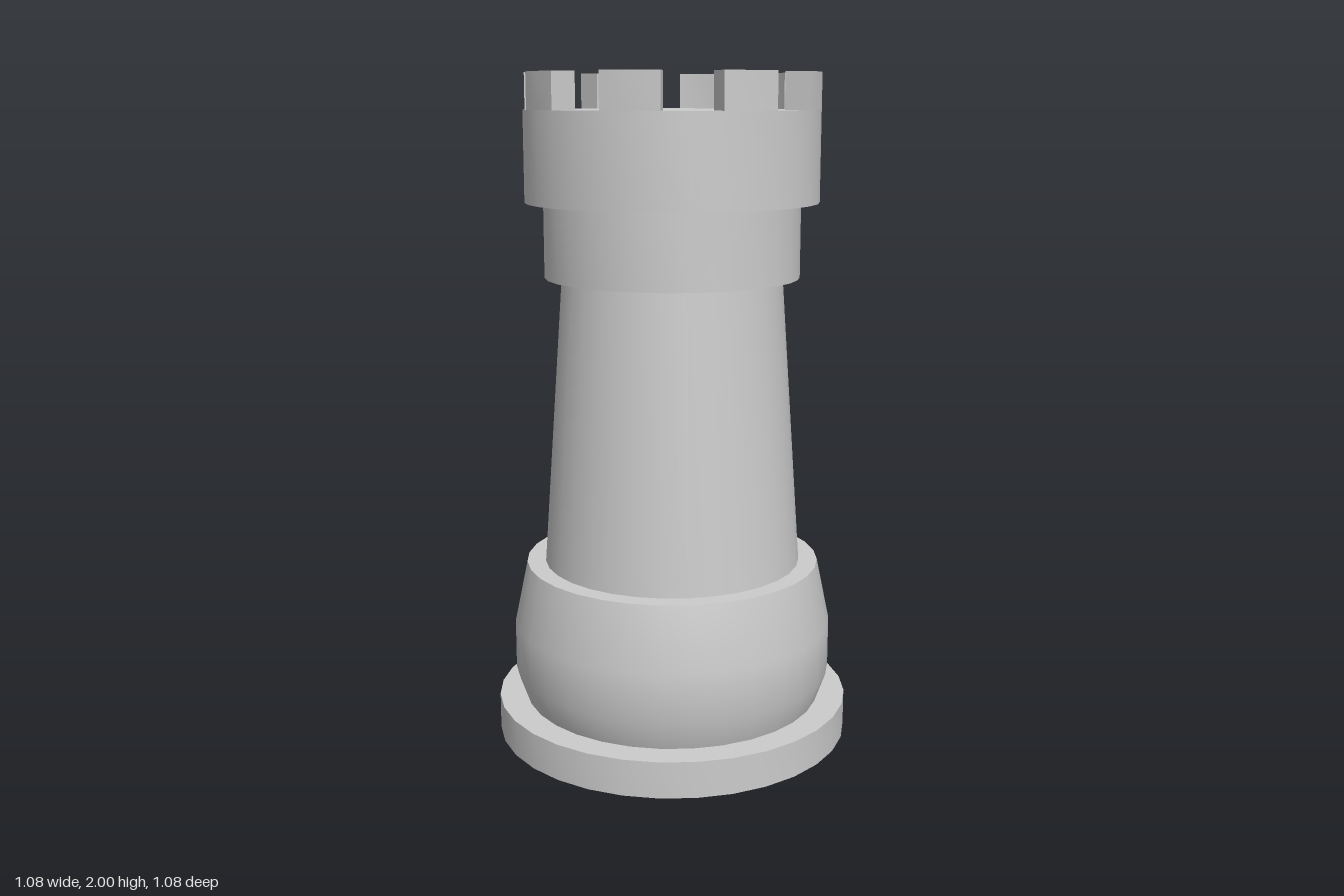
import * as THREE from 'three';
import { toCreasedNormals } from 'three/addons/utils/BufferGeometryUtils.js';

const SIDES = 32;
const STEP = (Math.PI * 2) / SIDES;
const CREASE = Math.PI / 6;
const HEAD_RADIUS = 0.432;

export function createModel() {
  const group = new THREE.Group();
  const material = new THREE.MeshStandardMaterial({ color: 0xcccccc });

  const add = (name, geometry, parent = group) => {
    const mesh = new THREE.Mesh(toCreasedNormals(geometry, CREASE), material);
    mesh.name = name;
    parent.add(mesh);
    return mesh;
  };

  // Closed solid of revolution from [radius, height] pairs, bottom to top
  const turned = (name, profile) => {
    const points = [[0, profile[0][1]], ...profile, [0, profile.at(-1)[1]]];
    add(name, new THREE.LatheGeometry(points.map(([r, y]) => new THREE.Vector2(r, y)), SIDES));
  };

  // Stacked body
  turned('basePlate', [[0.54, 0], [0.54, 0.11]]);
  turned('baseBulge', [[0.455, 0.11], [0.487, 0.2], [0.487, 0.35], [0.447, 0.54]]);
  turned('shaft', [[0.39, 0.54], [0.328, 1.41]]);
  turned('collar', [[0.378, 1.41], [0.378, 1.63]]);
  turned('head', [[HEAD_RADIUS, 1.63], [HEAD_RADIUS, 1.895]]);

  // Battlement block: a ring segment two facets wide
  const at = (r, a) => new THREE.Vector2(r * Math.cos(a), r * Math.sin(a));
  const shape = new THREE.Shape([
    ...[-1, 0, 1].map((i) => at(HEAD_RADIUS, i * STEP)),
    ...[1, 0, -1].map((i) => at(0.352, i * STEP)),
  ]);
  const block = new THREE.ExtrudeGeometry(shape, { depth: 0.105, bevelEnabled: false });
  block.rotateX(-Math.PI / 2);

  // Eight blocks around the rim, leaving gaps on the main axes
  const battlements = new THREE.Group();
  battlements.name = 'battlements';
  group.add(battlements);
  for (let i = 0; i < 8; i++) {
    const mesh = add('battlement', block, battlements);
    mesh.position.y = 1.895;
    mesh.rotation.y = STEP * (2 + i * 4);
  }

  return group;
}
